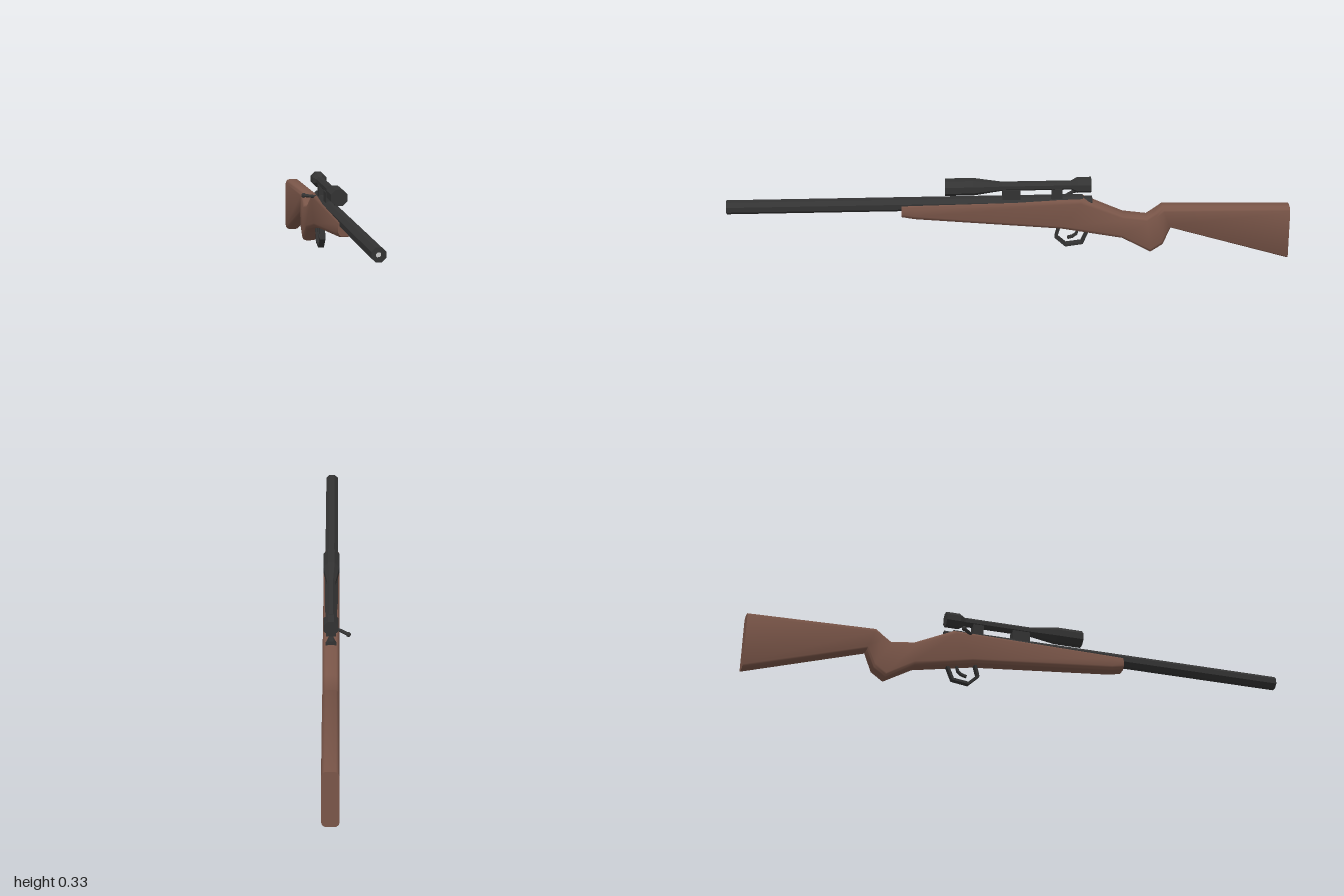
import * as THREE from 'three';
import { toCreasedNormals } from 'three/addons/utils/BufferGeometryUtils.js';

const CX = 0.0185; // centre plane of the rifle; the bolt handle offsets it from x = 0
const wood = new THREE.MeshStandardMaterial({ color: 0x795548 });
const metal = new THREE.MeshStandardMaterial({ color: 0x333333, flatShading: true });
const grey = new THREE.MeshStandardMaterial({ color: 0xcccccc });

function add(group, name, geometry, material, x = CX, y = 0, z = 0) {
  const mesh = new THREE.Mesh(geometry, material);
  mesh.name = name;
  mesh.position.set(x, y, z);
  group.add(mesh);
  return mesh;
}

// Eight-sided turned part along z, from [radius, z] pairs with z rising
function octagonal(profile) {
  const points = profile.map(([r, z]) => new THREE.Vector2(r, z));
  return new THREE.LatheGeometry(points, 8, Math.PI / 8).rotateX(Math.PI / 2);
}

// Rounded-rectangle sections, each running between a bottom and a top point
function stockGeometry(stations, halfWidth, radius, steps) {
  const positions = [], index = [];
  const n = 4 * (steps + 1);
  for (const [zt, yt, zb, yb] of stations) {
    const h = Math.hypot(zt - zb, yt - yb);
    const r = Math.min(radius, h * 0.45);
    for (let c = 0; c < 4; c++) {
      const sx = c === 0 || c === 3 ? 1 : -1;
      const sy = c < 2 ? 1 : -1;
      for (let s = 0; s <= steps; s++) {
        const a = (c + s / steps) * Math.PI / 2;
        const x = sx * (halfWidth - r) + r * Math.cos(a);
        const t = 0.5 + (sy * (h / 2 - r) + r * Math.sin(a)) / h;
        positions.push(x, yb + (yt - yb) * t, zb + (zt - zb) * t);
      }
    }
  }
  const last = (stations.length - 1) * n;
  for (let i = 0; i < last; i += n) {
    for (let j = 0; j < n; j++) {
      const k = (j + 1) % n;
      index.push(i + j, i + n + j, i + n + k, i + j, i + n + k, i + k);
    }
  }
  for (let j = 1; j < n - 1; j++) {
    index.push(0, j, j + 1, last, last + j + 1, last + j);
  }
  const geometry = new THREE.BufferGeometry();
  geometry.setAttribute('position', new THREE.Float32BufferAttribute(positions, 3));
  geometry.setIndex(index);
  return toCreasedNormals(geometry, 1.0);
}

// Flat bent strip following [z, y] points, extruded across x
function strip(points, thickness, width) {
  const path = points.map(([z, y]) => new THREE.Vector2(z, y));
  const side = (sign) => path.map((p, i) => {
    const a = path[Math.max(i - 1, 0)], b = path[Math.min(i + 1, path.length - 1)];
    const d = b.clone().sub(a).normalize().multiplyScalar(sign * thickness / 2);
    return new THREE.Vector2(p.x - d.y, p.y + d.x);
  });
  const shape = new THREE.Shape([...side(1), ...side(-1).reverse()]);
  return new THREE.ExtrudeGeometry(shape, { depth: width, bevelEnabled: false })
    .translate(0, 0, -width / 2).rotateY(-Math.PI / 2);
}

export function createModel() {
  const rifle = new THREE.Group();
  rifle.name = 'rifle';

  // Wooden stock: top z, top y, bottom z, bottom y, from fore-end to butt
  add(rifle, 'stock', stockGeometry([
    [0.385, 0.248, 0.385, 0.196],
    [0.34, 0.249, 0.34, 0.187],
    [-0.257, 0.257, -0.18, 0.138],
    [-0.40, 0.19, -0.40, 0.095],
    [-0.485, 0.178, -0.503, 0.036],
    [-0.515, 0.2, -0.546, 0.066],
    [-0.54, 0.22, -0.572, 0.134],
    [-0.995, 0.209, -1, 0.001],
  ], 0.0285, 0.017, 4), wood);

  // Barrel with a shallow muzzle recess
  add(rifle, 'barrel', octagonal([
    [0, -0.257], [0.025, -0.257], [0.025, 1], [0.009, 1], [0.009, 0.99],
  ]), metal, CX, 0.24);
  add(rifle, 'bore', new THREE.CircleGeometry(0.0095, 12), grey, CX, 0.24, 0.992);

  // Bolt body and its angled handle
  add(rifle, 'bolt', octagonal([[0, -0.29], [0.02, -0.29], [0.02, -0.22], [0, -0.22]]),
    metal, CX, 0.238);
  const start = new THREE.Vector3(0.008, 0.25, -0.185);
  const end = new THREE.Vector3(-0.041, 0.25, -0.232);
  const handle = add(rifle, 'boltHandle',
    new THREE.CylinderGeometry(0.006, 0.006, start.distanceTo(end), 8), metal);
  handle.position.copy(start).lerp(end, 0.5);
  handle.quaternion.setFromUnitVectors(new THREE.Vector3(0, 1, 0),
    end.clone().sub(start).normalize());
  add(rifle, 'boltKnob', new THREE.SphereGeometry(0.009, 8, 6), metal, end.x, end.y, end.z);

  // Scope: eyepiece, tube and objective bell in one turned profile
  const scope = new THREE.Group();
  scope.name = 'scope';
  add(scope, 'scopeTube', octagonal([
    [0, -0.285], [0.028, -0.285], [0.028, -0.235], [0.0165, -0.215],
    [0.0165, 0.03], [0.031, 0.13], [0.031, 0.23], [0, 0.23],
  ]), metal, CX, 0.305);
  for (const [z, length] of [[-0.004, 0.064], [-0.165, 0.038]]) {
    add(scope, 'scopeMount', new THREE.BoxGeometry(0.031, 0.045, length), metal, CX, 0.273, z);
  }
  rifle.add(scope);

  // Trigger guard and trigger
  add(rifle, 'triggerGuard', strip([
    [-0.175, 0.145], [-0.163, 0.098], [-0.198, 0.065], [-0.256, 0.073], [-0.279, 0.13],
  ], 0.01, 0.021), metal);
  add(rifle, 'trigger', strip([
    [-0.243, 0.135], [-0.236, 0.108], [-0.222, 0.097], [-0.204, 0.092],
  ], 0.008, 0.012), metal);

  return rifle;
}
